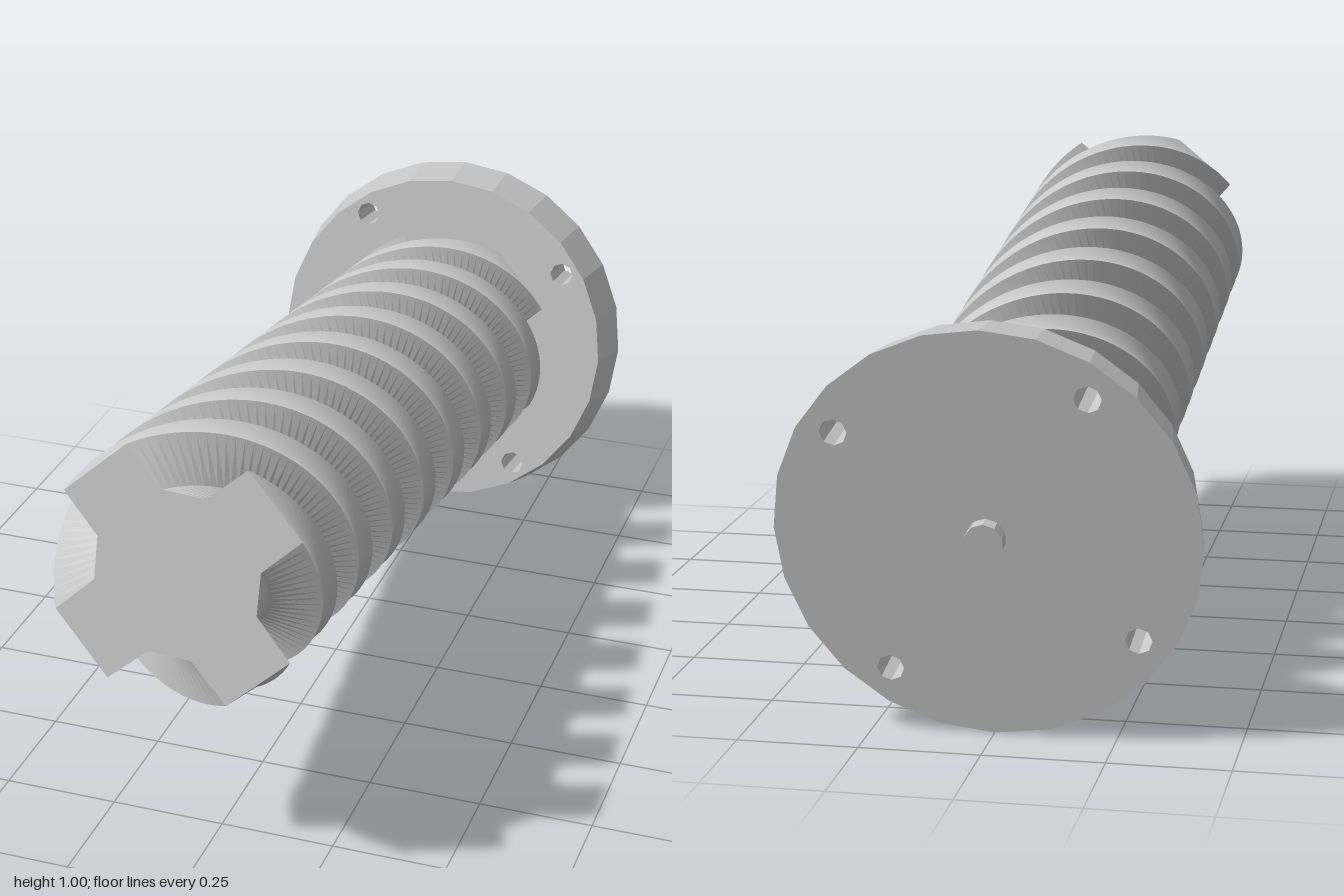
import * as THREE from 'three';

const steel = new THREE.MeshStandardMaterial({ color: 0xc6c6c6, flatShading: true });
steel.name = 'steel grey';

const polar = (r, deg) => {
  const a = THREE.MathUtils.degToRad(deg);
  return new THREE.Vector2(r * Math.cos(a), r * Math.sin(a));
};
const ring = (r, n, cx = 0, cy = 0) =>
  Array.from({ length: n }, (_, i) => polar(r, (i * 360) / n).add(new THREE.Vector2(cx, cy)));

function part(name, geometry) {
  const mesh = new THREE.Mesh(geometry, steel);
  mesh.name = name;
  return mesh;
}

// Round flange with four bolt holes, slightly wider at the back
function flange() {
  const depth = 0.12, front = 0.41, back = 0.433;
  const shape = new THREE.Shape(ring(front, 24));
  for (let i = 0; i < 4; i++) {
    const c = polar(0.365, 35 + i * 90);
    shape.holes.push(new THREE.Path(ring(0.028, 8, c.x, c.y)));
  }
  const g = new THREE.ExtrudeGeometry(shape, { depth, bevelEnabled: false });
  const p = g.attributes.position;
  for (let i = 0; i < p.count; i++) {
    const x = p.getX(i), y = p.getY(i);
    if (p.getZ(i) < depth / 2 && Math.hypot(x, y) > 0.4) {
      p.setXY(i, (x * back) / front, (y * back) / front);
    }
  }
  g.computeVertexNormals();
  return part('flange', g);
}

// Four-lobed bar twisted two full turns along its length
function screw() {
  const start = 0.12, length = 1.795, turns = 2;
  const points = [];
  for (let i = 0; i < 4; i++) {
    const a = 42 + i * 90;
    points.push(polar(0.28, a - 18), polar(0.28, a + 18), polar(0.178, a + 30), polar(0.178, a + 60));
  }
  const g = new THREE.ExtrudeGeometry(new THREE.Shape(points), {
    depth: length, steps: 200, bevelEnabled: false,
  });
  const p = g.attributes.position;
  for (let i = 0; i < p.count; i++) {
    const x = p.getX(i), y = p.getY(i), z = p.getZ(i);
    const a = (z / length - 1) * turns * Math.PI * 2;
    p.setXYZ(i, x * Math.cos(a) - y * Math.sin(a), x * Math.sin(a) + y * Math.cos(a), z + start);
  }
  g.computeVertexNormals();
  return part('twistedScrew', g);
}

// Small centre pin on the back of the flange
function pin() {
  const g = new THREE.CylinderGeometry(0.04, 0.04, 0.04, 10);
  g.rotateX(Math.PI / 2);
  g.translate(0, 0, -0.01);
  return part('centrePin', g);
}

export function createModel() {
  const model = new THREE.Group();
  model.name = 'flangedScrew';
  // The whole part leans so that its front end is raised
  const tilted = new THREE.Group();
  tilted.name = 'tiltedBody';
  tilted.add(flange(), screw(), pin());
  tilted.rotation.x = -THREE.MathUtils.degToRad(9);
  tilted.position.set(0, 0.429, -0.932);
  model.add(tilted);
  return model;
}
